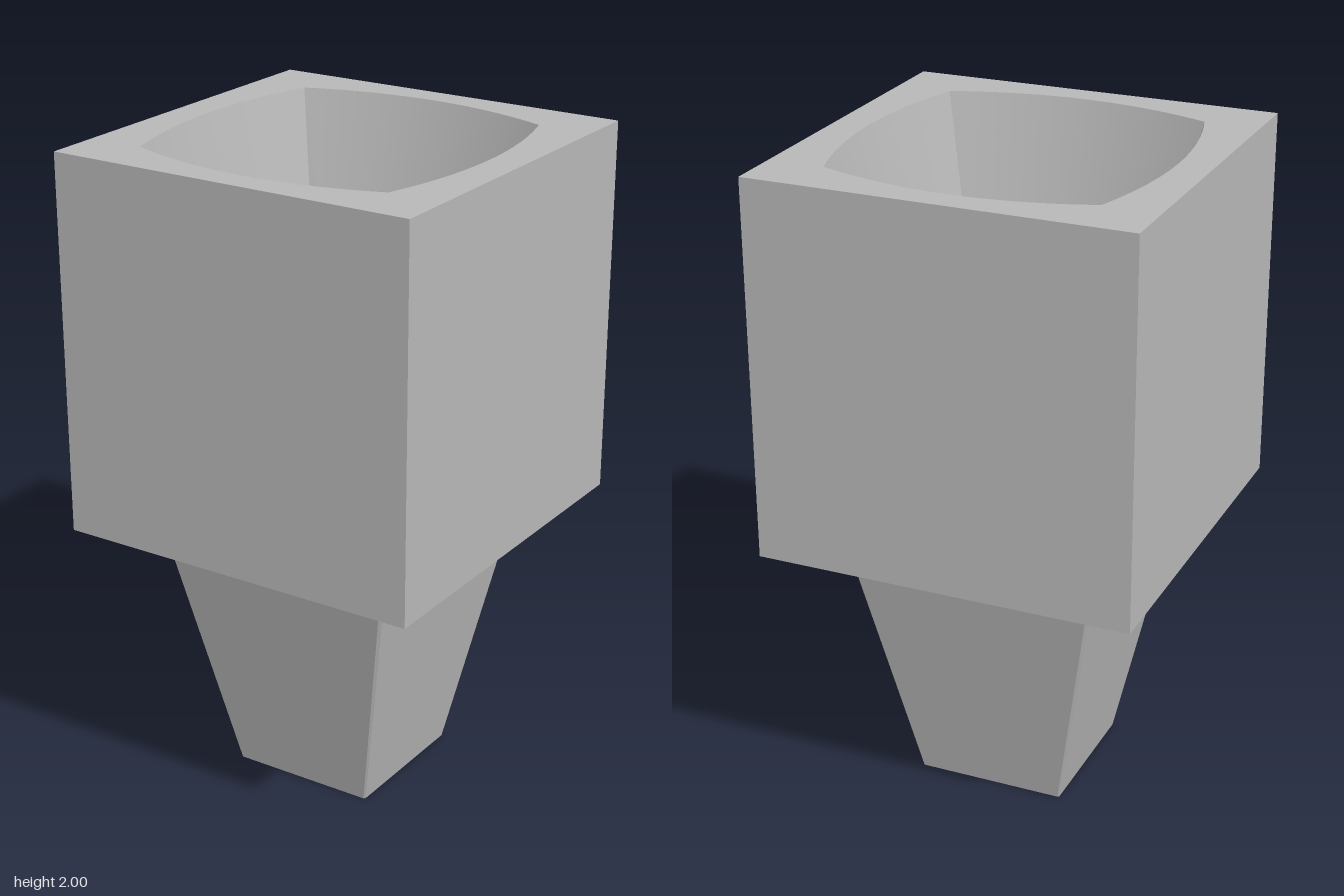
import * as THREE from 'three';
import { mergeGeometries } from 'three/addons/utils/BufferGeometryUtils.js';

const HALF = 0.58, LEDGE = 0.84, TOP = 2, FLOOR = 1.16, STEPS = 20;
const CORNERS = [[1, 1], [1, -1], [-1, -1], [-1, 1]];

// Four bowed sides of a rounded square at height y, each a list of points
function bowedSides(y, cx, cz, bowX, bowZ, shiftZ = 0) {
  return CORNERS.map(([sx, sz], k) => {
    const [ex, ez] = CORNERS[(k + 1) % 4];
    const mx = (sx + ex) / 2, mz = (sz + ez) / 2;
    const start = new THREE.Vector3(sx * cx, y, sz * cz + shiftZ);
    const end = new THREE.Vector3(ex * cx, y, ez * cz + shiftZ);
    const control = new THREE.Vector3(mx * (2 * bowX - cx), y, mz * (2 * bowZ - cz) + shiftZ);
    return new THREE.QuadraticBezierCurve3(start, control, end).getPoints(STEPS);
  });
}

// Square with tiny corner chamfers at height y
function chamferedRing(y, half, c) {
  return CORNERS.flatMap(([sx, sz], k) => {
    const a = new THREE.Vector3(sx * (half - c), y, sz * half);
    const b = new THREE.Vector3(sx * half, y, sz * (half - c));
    return k % 2 ? [b, a] : [a, b];
  });
}

// Wall between two matching rows of points
function ribbon(a, b) {
  const n = a.length, index = [];
  for (let i = 0; i < n - 1; i++) index.push(i, i + 1, n + i, i + 1, n + i + 1, n + i);
  const g = new THREE.BufferGeometry().setFromPoints([...a, ...b]);
  g.setIndex(index);
  g.computeVertexNormals();
  return g;
}

// Points seen from above as 2D outline
const flat = (pts) => pts.map((p) => new THREE.Vector2(p.x, -p.z));

export function createModel() {
  const group = new THREE.Group();
  const grey = new THREE.MeshStandardMaterial({ color: 0xb8b8b8 });
  const add = (name, geometry) => {
    const mesh = new THREE.Mesh(geometry, grey);
    mesh.name = name;
    group.add(mesh);
    return mesh;
  };

  // Block sides and underside: a box without its top face
  const box = new THREE.BoxGeometry(2 * HALF, TOP - LEDGE, 2 * HALF);
  const index = Array.from(box.index.array);
  index.splice(12, 6);
  box.setIndex(index);
  box.clearGroups();
  add('blockBody', box).position.y = (TOP + LEDGE) / 2;

  // Tapered socket with bowed walls
  const rim = bowedSides(TOP, 0.41, 0.41, 0.475, 0.49);
  const base = bowedSides(FLOOR, 0.236, 0.236, 0.26, 0.26, 0.014);
  add('socketWalls', mergeGeometries(rim.map((side, k) => ribbon(side, base[k]))));
  const floor = new THREE.ShapeGeometry(new THREE.Shape(flat(base.flatMap((s) => s.slice(0, -1)))));
  add('socketFloor', floor.rotateX(-Math.PI / 2)).position.y = FLOOR;

  // Top frame around the socket
  const frame = new THREE.Shape([[-1, -1], [1, -1], [1, 1], [-1, 1]]
    .map(([x, y]) => new THREE.Vector2(x * HALF, y * HALF)));
  frame.holes.push(new THREE.Path(flat(rim.flatMap((s) => s.slice(0, -1)))));
  add('topFrame', new THREE.ShapeGeometry(frame).rotateX(-Math.PI / 2)).position.y = TOP;

  // Tapered peg with fine corner chamfers
  const low = chamferedRing(0, 0.232, 0.005), high = chamferedRing(LEDGE, 0.398, 0.009);
  add('pegSides', mergeGeometries(low.map((p, i) => {
    const j = (i + 1) % low.length;
    return ribbon([p, low[j]], [high[i], high[j]]);
  })));
  const cap = new THREE.ShapeGeometry(new THREE.Shape(flat(low)));
  add('pegBottom', cap.rotateX(Math.PI / 2));

  return group;
}
